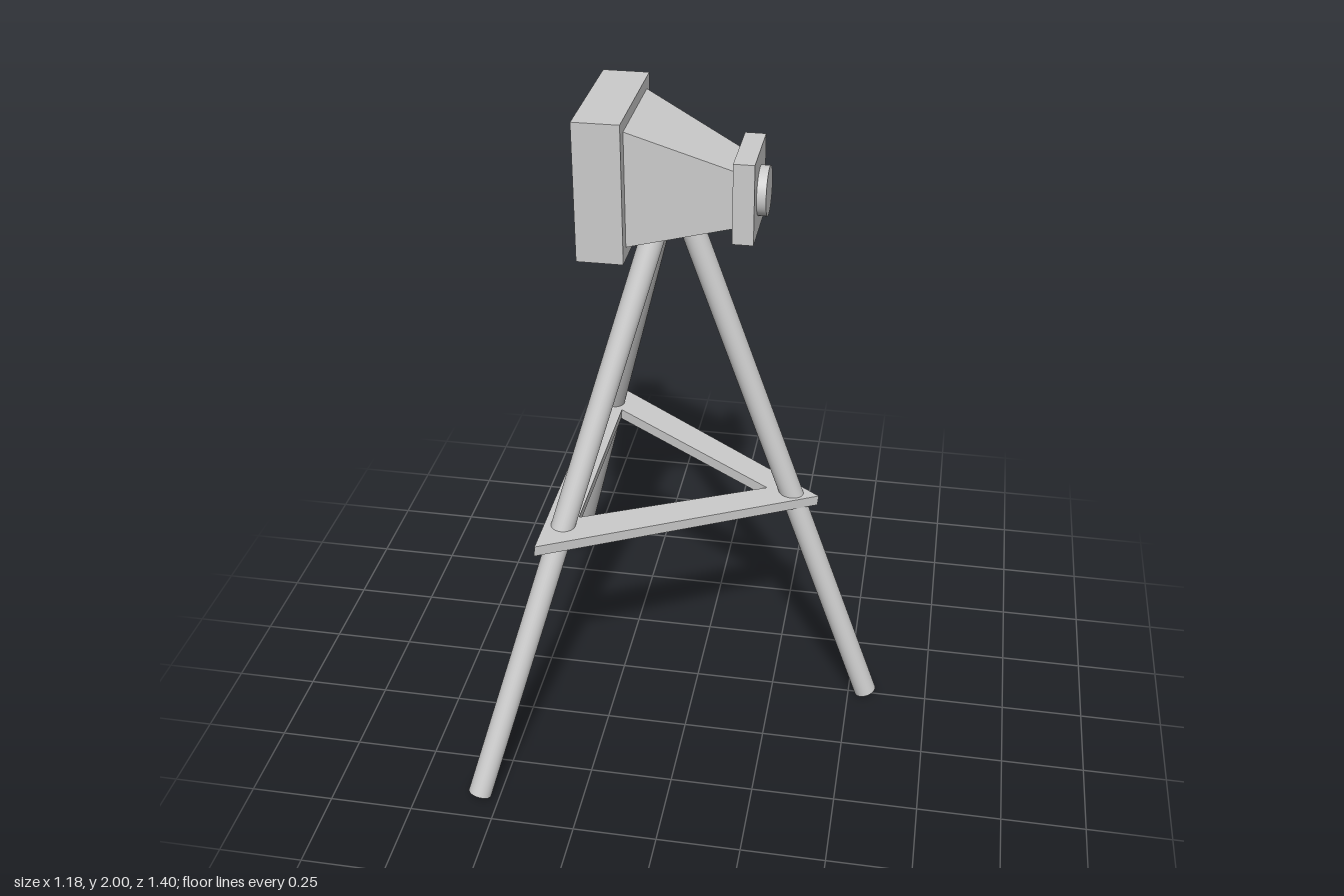
import * as THREE from 'three';

const grey = new THREE.MeshStandardMaterial({ color: 0xcccccc });

export function createModel() {
  const model = new THREE.Group();

  const add = (name, geometry, x = 0, y = 0, z = 0) => {
    const mesh = new THREE.Mesh(geometry, grey);
    mesh.name = name;
    mesh.position.set(x, y, z);
    model.add(mesh);
    return mesh;
  };

  // Box given by its extents along x and y, and its half width in z
  const addBox = (name, x0, x1, y0, y1, halfZ) =>
    add(name, new THREE.BoxGeometry(x1 - x0, y1 - y0, halfZ * 2), (x0 + x1) / 2, (y0 + y1) / 2);

  // Camera body: rear box, tapered bellows, lens board and lens, facing +x
  addBox('rearBox', -0.305, -0.173, 1.597, 2, 0.203);
  addBox('lensBoard', 0.113, 0.172, 1.64, 1.875, 0.115);

  const bellows = new THREE.BoxGeometry(1, 1, 1);
  const p = bellows.attributes.position;
  for (let i = 0; i < p.count; i++) {
    const rear = p.getX(i) < 0;
    const [bottom, top, halfZ] = rear ? [1.632, 1.966, 0.164] : [1.672, 1.84, 0.083];
    p.setXYZ(i, rear ? -0.173 : 0.113, p.getY(i) < 0 ? bottom : top, Math.sign(p.getZ(i)) * halfZ);
  }
  bellows.computeVertexNormals();
  add('bellows', bellows);

  const lens = add('lens', new THREE.CylinderGeometry(0.07, 0.07, 0.027, 48), 0.1845, 1.755, 0);
  lens.rotation.z = -Math.PI / 2;

  // Three round tripod legs, running up into the bellows
  const addLeg = (name, foot, top) => {
    const a = new THREE.Vector3(...foot);
    const b = new THREE.Vector3(...top);
    const axis = b.clone().sub(a);
    const mid = a.clone().add(b).multiplyScalar(0.5);
    const leg = add(name, new THREE.CylinderGeometry(0.035, 0.035, axis.length(), 32), mid.x, mid.y, mid.z);
    leg.quaternion.setFromUnitVectors(new THREE.Vector3(0, 1, 0), axis.normalize());
  };
  addLeg('lensSideLeg', [0.554, 0.013, 0], [-0.038, 1.69, 0]);
  for (const s of [1, -1]) {
    addLeg(s > 0 ? 'frontLeg' : 'backLeg', [-0.558, 0.016, s * 0.665], [-0.1, 1.69, s * 0.016]);
  }

  // Tilted triangular spreader with a triangular opening
  const triangle = (Type, baseX, halfZ, tipX) =>
    new Type([
      new THREE.Vector2(baseX, -halfZ),
      new THREE.Vector2(tipX, 0),
      new THREE.Vector2(baseX, halfZ),
    ]);
  const outline = triangle(THREE.Shape, -0.395, 0.482, 0.373);
  outline.holes.push(triangle(THREE.Path, -0.305, 0.307, 0.213));
  const spreader = new THREE.ExtrudeGeometry(outline, { depth: 0.033, bevelEnabled: false });
  spreader.translate(0, 0, -0.0165).rotateX(-Math.PI / 2);
  add('spreader', spreader, 0, 0.774, 0).rotation.z = -0.082;

  return model;
}
